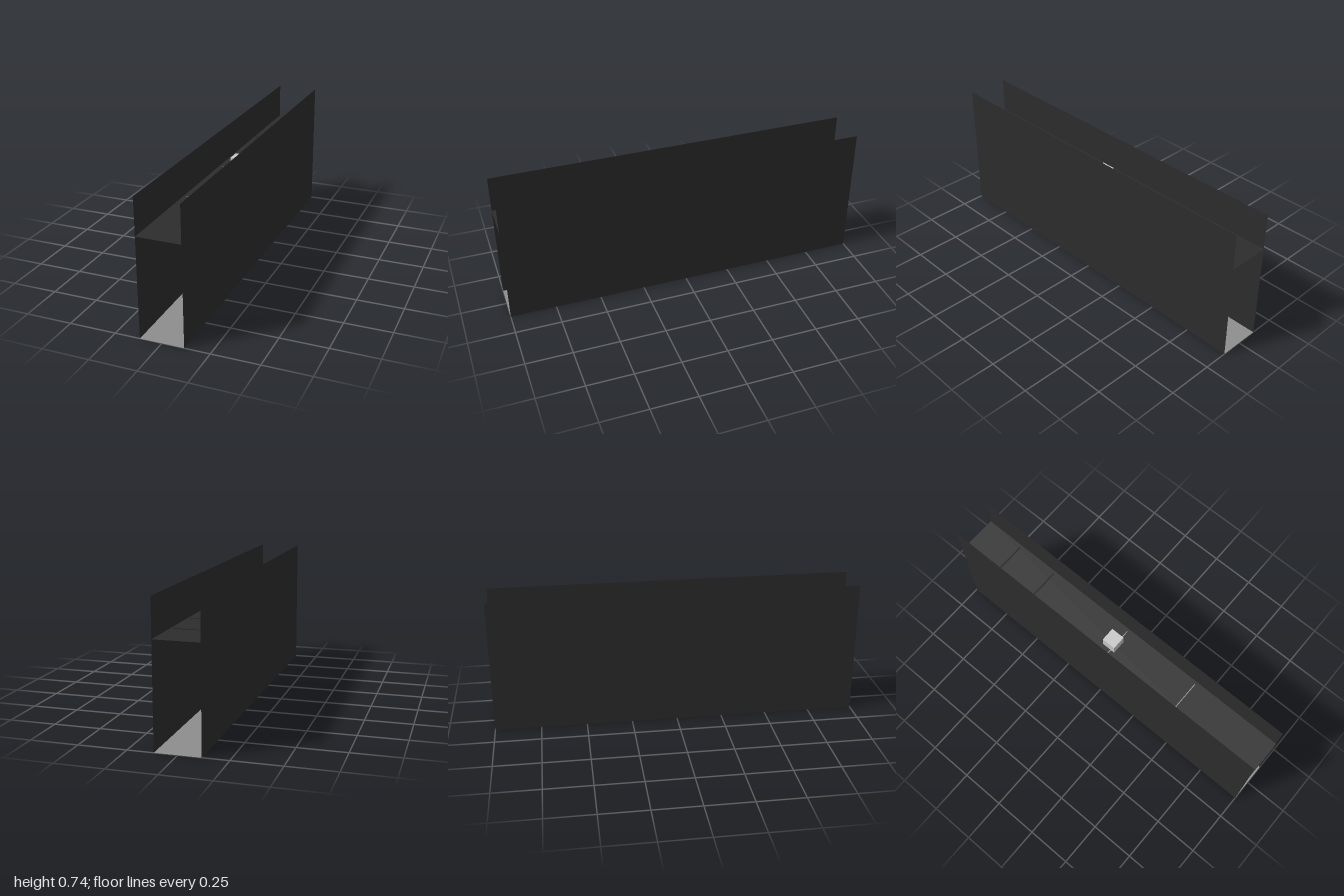
import * as THREE from 'three';

const W = 0.233, H = 0.735, L = 2, SHELF = 0.537;

export function createModel() {
  const material = (name, color) =>
    new THREE.MeshStandardMaterial({ name, color, side: THREE.DoubleSide });
  const charcoal = material('charcoal', 0x2d2d2d);
  const grey = material('grey', 0x8e8e8e);
  const paleGrey = material('pale grey', 0xc8c8c8);
  const black = material('black', 0x161616);

  const model = new THREE.Group();
  model.name = 'channel';
  const add = (name, geometry, mat, x, y, z) => {
    const mesh = new THREE.Mesh(geometry, mat);
    mesh.name = name;
    mesh.position.set(x, y, z);
    model.add(mesh);
  };
  const flat = (w, l) => new THREE.PlaneGeometry(w, l).rotateX(-Math.PI / 2);

  // Paper-thin side walls, facing outwards
  for (const [name, s] of [['leftWall', 1], ['rightWall', -1]]) {
    add(name, new THREE.PlaneGeometry(L, H).rotateY(s * Math.PI / 2), charcoal, s * W / 2, H / 2, 0);
  }

  // Floor and raised shelf, both open at the ends
  add('floor', flat(W, L), grey, 0, 0, 0);
  add('shelf', flat(W, L), charcoal, 0, SHELF, 0);

  // Small block set into the middle of the shelf
  add('block', new THREE.BoxGeometry(0.078, 0.078, 0.078), paleGrey, 0, 0.566, 0);

  // Flat cross lines on the shelf
  const lines = [[-0.765, 0.01, black], [-0.515, 0.01, black], [0.015, 0.005, grey], [0.48, 0.005, grey]];
  for (const [z, depth, mat] of lines) {
    add('crossLine', flat(0.2, depth), mat, 0, SHELF + 0.002, z);
  }
  return model;
}
